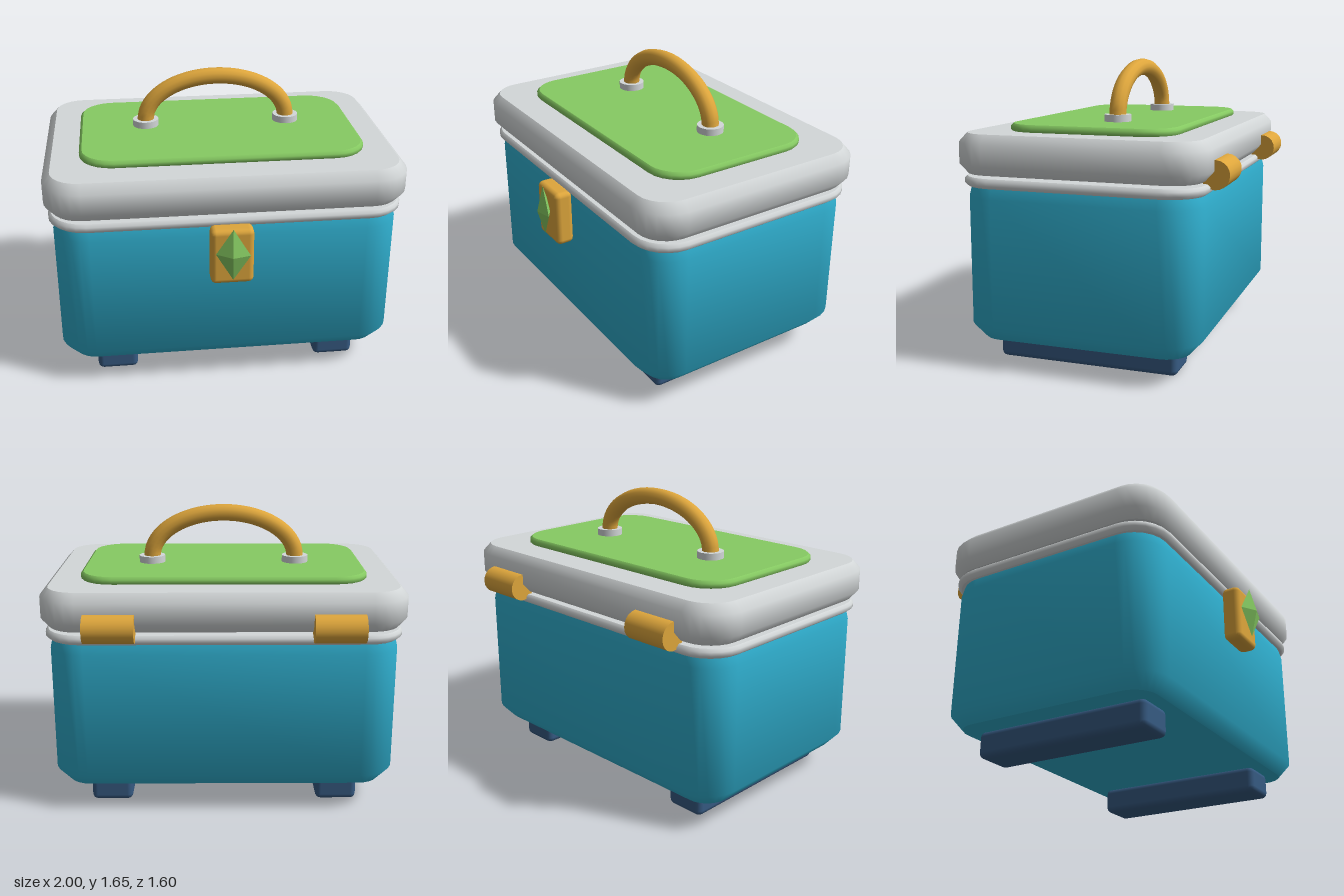
import * as THREE from 'three';
import { mergeGeometries, toCreasedNormals } from 'three/addons/utils/BufferGeometryUtils.js';
import { RoundedBoxGeometry } from 'three/addons/geometries/RoundedBoxGeometry.js';

const CORNER_STEPS = 6;

// Outline of a rounded rectangle in x/z, running from +x towards +z
function outline(halfX, halfZ, radius) {
  const points = [];
  for (let corner = 0; corner < 4; corner++) {
    const sx = corner === 0 || corner === 3 ? 1 : -1;
    const sz = corner < 2 ? 1 : -1;
    for (let i = 0; i <= CORNER_STEPS; i++) {
      const a = (corner + i / CORNER_STEPS) * Math.PI / 2;
      points.push([
        sx * (halfX - radius) + radius * Math.cos(a),
        sz * (halfZ - radius) + radius * Math.sin(a),
      ]);
    }
  }
  return points;
}

// Rounded slab: levels are [y, inset] from bottom to top, with flat caps
function slab(halfX, halfZ, radius, levels) {
  const rings = levels.map(([y, inset]) =>
    outline(halfX - inset, halfZ - inset, radius - inset).map(([x, z]) => [x, y, z]));
  const n = rings[0].length;
  const wall = [], caps = [];
  const bottom = rings[0], top = rings[rings.length - 1];
  for (let i = 0; i < n; i++) {
    const j = (i + 1) % n;
    for (let k = 0; k < rings.length - 1; k++) {
      const a = rings[k][i], b = rings[k][j], c = rings[k + 1][j], d = rings[k + 1][i];
      wall.push(...a, ...d, ...c, ...a, ...c, ...b);
    }
    caps.push(0, bottom[0][1], 0, ...bottom[i], ...bottom[j]);
    caps.push(0, top[0][1], 0, ...top[j], ...top[i]);
  }
  const make = (data) => {
    const g = new THREE.BufferGeometry();
    g.setAttribute('position', new THREE.Float32BufferAttribute(data, 3));
    g.computeVertexNormals();
    return g;
  };
  return mergeGeometries([toCreasedNormals(make(wall), 1), make(caps)]);
}

export function createModel() {
  const model = new THREE.Group();
  model.name = 'lunchBox';

  const material = (name, color) => {
    const m = new THREE.MeshStandardMaterial({ color });
    m.name = name;
    return m;
  };
  const teal = material('teal', 0x30b0d0);
  const grey = material('lightGrey', 0xd3d7d8);
  const green = material('green', 0x86ca62);
  const gold = material('gold', 0xdea63c);
  const navy = material('navy', 0x365a82);

  const add = (name, geometry, mat, x = 0, y = 0, z = 0) => {
    const mesh = new THREE.Mesh(geometry, mat);
    mesh.name = name;
    mesh.position.set(x, y, z);
    model.add(mesh);
    return mesh;
  };

  // Body, rim, floating lid and the panel on the lid
  const midZ = -0.023;
  add('body', slab(0.96, 0.657, 0.2,
    [[0.142, 0.07], [0.22, 0], [0.93, 0], [0.995, 0.016], [1.02, 0.025]]), teal, 0, 0, midZ);
  add('rim', slab(0.98, 0.677, 0.21,
    [[0.988, 0.02], [1.005, 0], [1.027, 0], [1.042, 0.015]]), grey, 0, 0, midZ);
  add('lid', slab(1, 0.695, 0.21,
    [[1.057, 0.045], [1.108, 0], [1.225, 0], [1.274, 0.045]]), grey, 0, 0, midZ);
  add('lidPanel', slab(0.8, 0.478, 0.19,
    [[1.265, 0.015], [1.28, 0], [1.3, 0], [1.314, 0.015]]), green, 0, 0, midZ - 0.002);

  // Arched handle
  const handleZ = -0.085;
  const arc = [];
  for (let i = 0; i <= 16; i++) {
    const a = Math.PI * i / 16;
    arc.push(new THREE.Vector3(-0.415 * Math.cos(a), 1.345 + 0.255 * Math.sin(a), handleZ));
  }
  add('handle', new THREE.TubeGeometry(new THREE.CatmullRomCurve3(arc), 40, 0.048, 12), gold);

  // Paired handle collars, hinges and runners
  for (const side of [-1, 1]) {
    const label = side > 0 ? 'left' : 'right';
    add(label + 'HandleCollar', new THREE.CylinderGeometry(0.075, 0.075, 0.045, 20),
      grey, side * 0.415, 1.33, handleZ);
    add(label + 'Hinge', new THREE.CylinderGeometry(0.077, 0.077, 0.272, 20),
      gold, side * 0.609, 1.09, -0.723).rotation.z = Math.PI / 2;
    add(label + 'Runner', new RoundedBoxGeometry(0.234, 0.15, 1.03, 2, 0.032),
      navy, side * 0.645, 0.075, -0.021);
  }

  // Latch plate with a slightly turned gem
  add('latch', new RoundedBoxGeometry(0.236, 0.325, 0.105, 2, 0.03), gold, 0, 0.847, 0.688);
  const gem = new THREE.OctahedronGeometry(1);
  gem.applyMatrix4(new THREE.Matrix4().makeBasis(
    new THREE.Vector3(0.092, 0, 0.016),
    new THREE.Vector3(0, 0.152, 0),
    new THREE.Vector3(-0.005, 0, 0.04)));
  gem.computeVertexNormals();
  add('latchGem', gem, green, 0, 0.876, 0.761);

  return model;
}
